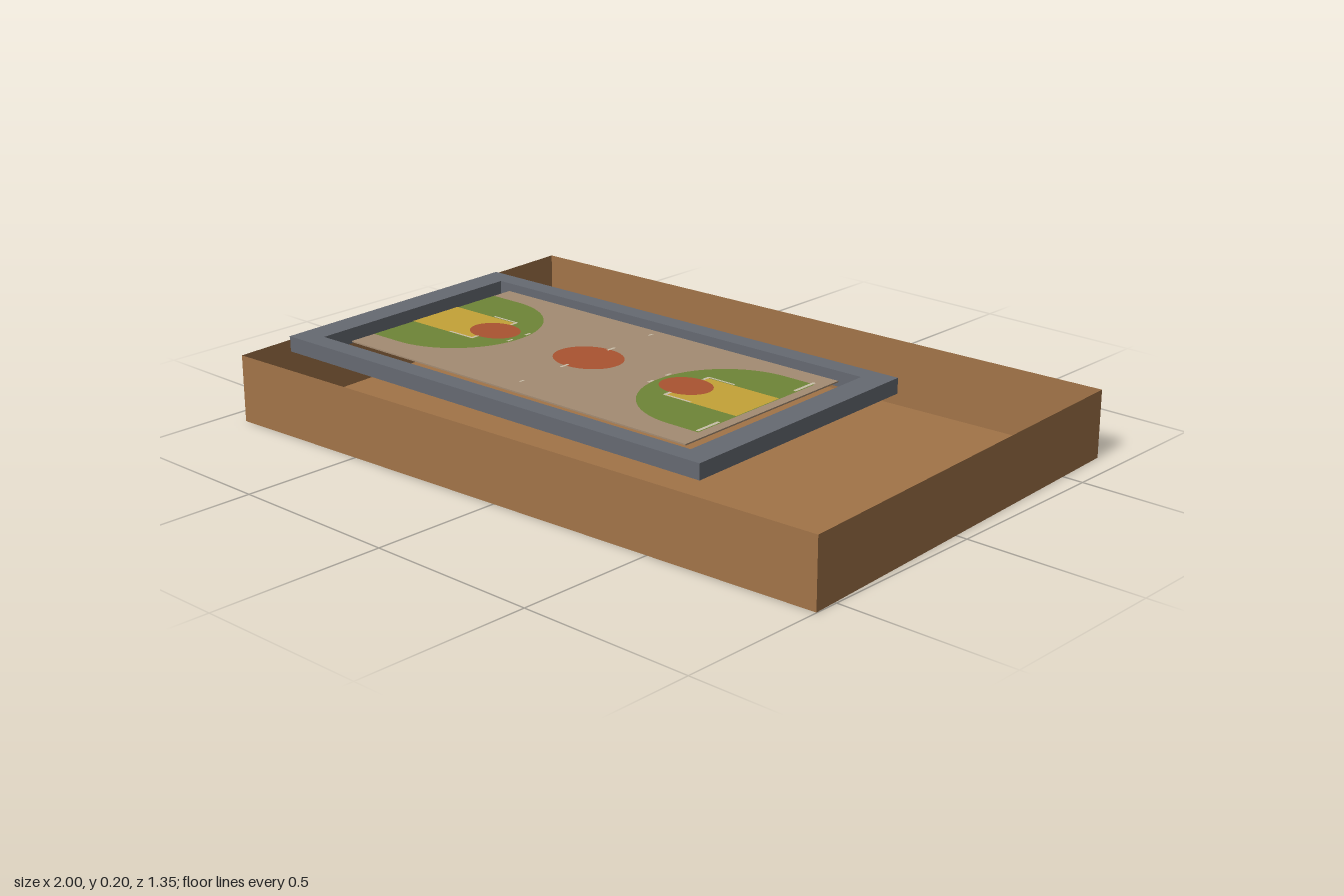
import * as THREE from 'three';

const flat = (name, color, side = THREE.FrontSide) => {
  const m = new THREE.MeshStandardMaterial({ color, side });
  m.name = name;
  return m;
};

export function createModel() {
  const wood = flat('brown wood', 0xa27448, THREE.DoubleSide);
  const grey = flat('slate grey', 0x666a72);
  const tan = flat('court tan', 0xa48c73);
  const green = flat('green', 0x6f8637);
  const yellow = flat('yellow', 0xc5a337);
  const red = flat('brick red', 0xaa5431);
  const chalk = flat('chalk', 0xc9bfa9);

  const model = new THREE.Group();
  model.name = 'courtInTray';
  const add = (parent, name, geometry, material, x = 0, y = 0, z = 0) => {
    const mesh = new THREE.Mesh(geometry, material);
    mesh.name = name;
    mesh.position.set(x, y, z);
    parent.add(mesh);
    return mesh;
  };
  const layer = (shape) => new THREE.ShapeGeometry(shape, 32).rotateX(-Math.PI / 2);
  const rect = (w, d) => new THREE.PlaneGeometry(w, d).rotateX(-Math.PI / 2);
  const ellipse = (rx, rz) => layer(new THREE.Shape().absellipse(0, 0, rx, rz, 0, Math.PI * 2));

  // Open tray: thin-walled box without its top face
  const trayBox = new THREE.BoxGeometry(1.933, 0.19, 1.247);
  trayBox.setIndex(Array.from(trayBox.index.array).filter((_, i) => i < 12 || i > 17));
  add(model, 'tray', trayBox, wood, 0, 0.095, 0).rotation.y = 0.054;

  // Raised rectangular border
  const outline = (shape, w, d) => shape.moveTo(-w, -d).lineTo(w, -d).lineTo(w, d).lineTo(-w, d).closePath();
  const border = outline(new THREE.Shape(), 0.738, 0.406);
  border.holes.push(outline(new THREE.Path(), 0.661, 0.348));
  const borderGeo = new THREE.ExtrudeGeometry(border, { depth: 0.044, bevelEnabled: false }).rotateX(-Math.PI / 2);
  add(model, 'border', borderGeo, grey, -0.22, 0.156, 0.068).rotation.y = 0.037;

  // Court plate
  const court = new THREE.Group();
  court.name = 'court';
  court.position.set(-0.203, 0, 0.073);
  court.rotation.y = 0.03;
  model.add(court);
  add(court, 'courtFloor', new THREE.BoxGeometry(1.21, 0.004, 0.615), tan, 0, 0.192, 0);

  // Centre circle and the surviving pieces of the halfway line
  add(court, 'centreCircle', ellipse(0.104, 0.088), red, -0.008, 0.1985, -0.006);
  for (const s of [-1, 1]) {
    add(court, 'halfwayTick', rect(0.008, 0.03), chalk, -0.01, 0.1995, s * 0.092 - 0.006);
    add(court, 'halfwayEnd', rect(0.006, 0.016), chalk, -0.01, 0.1995, s * 0.255 - 0.006);
  }

  // Both ends of the court; each arc opens towards its baseline
  for (const s of [-1, 1]) {
    const end = new THREE.Group();
    end.name = s < 0 ? 'rightEnd' : 'leftEnd';
    end.position.set(-0.012, 0, -0.006);
    if (s < 0) end.rotation.y = Math.PI;
    court.add(end);

    const arc = new THREE.Shape();
    arc.moveTo(0.59, -0.235).lineTo(0.59, 0.235).lineTo(0.49, 0.235);
    arc.absellipse(0.49, 0, 0.236, 0.235, Math.PI / 2, Math.PI * 1.5);
    add(end, 'shootingArc', layer(arc), green, 0, 0.1955, 0);
    add(end, 'key', rect(0.237, 0.174), yellow, 0.4715, 0.197, 0);
    add(end, 'keyCircle', ellipse(0.077, 0.064), red, 0.35, 0.1985, 0);

    // Worn chalk marks
    for (const side of [-1, 1]) {
      add(end, 'keyCorner', rect(0.009, 0.026), chalk, 0.353, 0.1995, side * 0.077);
      add(end, 'keySideLine', rect(0.09, 0.007), chalk, 0.396, 0.1995, side * 0.088);
      add(end, 'arcMark', rect(0.008, 0.02), chalk, 0.258, 0.1995, side * 0.035);
      if (s > 0) add(end, 'baselineMark', rect(0.01, 0.085), chalk, 0.588, 0.1995, side * 0.195);
    }
  }
  return model;
}
